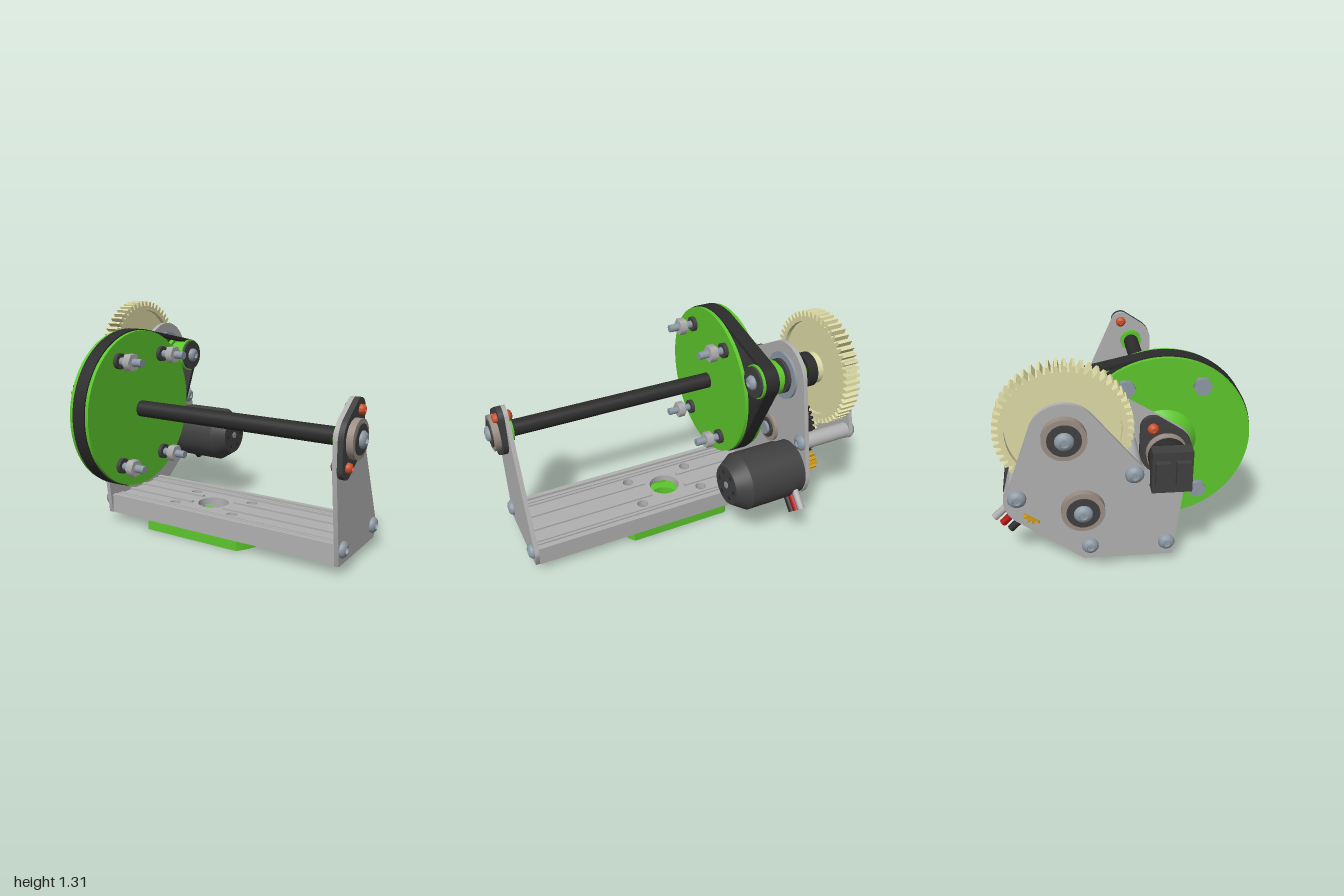
import * as THREE from 'three';
import { toCreasedNormals } from 'three/addons/utils/BufferGeometryUtils.js';

const C = { grey: 0xb0b0b0, black: 0x2b2b2b, dark: 0x404040, green: 0x5cc62c, cream: 0xdedba6, gold: 0xd09a1c,
  brown: 0x9a8e84, steel: 0x8d99a4, orange: 0xc9502a, red: 0xb01010 };
const mats = {};
const mat = (c) => mats[c] ??= new THREE.MeshStandardMaterial({ color: C[c] });

// Axes along x, given as [z, y]
const MAIN = [0.225, 0.725], TOP = [-0.295, 0.985], MID = [-0.215, 0.59], MOTOR = [-0.45, 0.45];
const POSTS = [[-0.525, 0.665], [0.03, 0.77]];
const FEET = [[0.25, 0.14], [-0.165, 0.14]];
const EARS = [[0.155, 0.86], [0.297, 0.59]];

export function createModel() {
  const root = new THREE.Group();
  const add = (name, geo, color) => {
    const m = new THREE.Mesh(geo, mat(color));
    m.name = name;
    root.add(m);
    return m;
  };
  // Cylinder or cone along x from x0 to x1
  const cyl = (name, x0, x1, r, [z, y], color, r1 = r, seg = 40) => {
    const g = new THREE.CylinderGeometry(r1, r, x1 - x0, seg).rotateZ(-Math.PI / 2);
    return add(name, g.translate((x0 + x1) / 2, y, z), color);
  };
  const box = (name, x0, x1, y0, y1, z0, z1, color) => add(name,
    new THREE.BoxGeometry(x1 - x0, y1 - y0, z1 - z0).translate((x0 + x1) / 2, (y0 + y1) / 2, (z0 + z1) / 2), color);
  // Shape drawn in (z, y), extruded from x0 to x1
  const slab = (name, shape, x0, x1, color) => {
    const g = new THREE.ExtrudeGeometry(shape, { depth: x1 - x0, bevelEnabled: false, curveSegments: 24 });
    return add(name, toCreasedNormals(g.rotateY(-Math.PI / 2).translate(x1, 0, 0), 0.4), color);
  };
  // Shape drawn in (x, -z), extruded upwards
  const floor = (name, shape, y0, y1, color) => {
    const g = new THREE.ExtrudeGeometry(shape, { depth: y1 - y0, bevelEnabled: false, curveSegments: 24 });
    return add(name, toCreasedNormals(g.rotateX(-Math.PI / 2).translate(0, y0, 0), 0.4), color);
  };
  const hole = (shape, x, y, r) => shape.holes.push(new THREE.Path().absarc(x, y, r, 0, Math.PI * 2));
  // Screw with a domed head; dir is the side the head points to
  const screw = (name, x, dir, r, [z, y], color, h = 0.028) => {
    const pts = [[0, 0], [r, 0], [r, h * 0.35], [r * 0.8, h * 0.8], [r * 0.45, h], [r * 0.45, h * 0.5], [0, h * 0.5]];
    const g = new THREE.LatheGeometry(pts.map((p) => new THREE.Vector2(...p)), 24);
    add(name, toCreasedNormals(g.rotateZ(-dir * Math.PI / 2).translate(x, y, z), 0.7), color);
  };

  // Base rail: ribbed channel with drilled top
  const cx = -0.03, cz = 0.04;
  const deck = new THREE.Shape([[-0.615, 0.205], [-0.615, -0.28], [0.87, -0.28], [0.87, 0.205]].map((p) => new THREE.Vector2(...p)));
  hole(deck, cx, -cz, 0.092);
  const drill = [-1, 1].flatMap((a) => [-1, 1].map((b) => [cx + a * 0.2, -cz + b * 0.115]));
  drill.forEach(([x, y]) => hole(deck, x, y, 0.033));
  floor('railDeck', deck, 0.115, 0.155, 'grey');
  for (const [z0, z1] of [[-0.205, -0.175], [0.25, 0.28]]) box('railWall', -0.615, 0.87, 0.056, 0.17, z0, z1, 'grey');
  for (const z of [-0.15, -0.125, 0.2, 0.225]) {
    box('railRib', -0.615, 0.87, 0.155, 0.165, z - 0.008, z + 0.008, 'grey');
    box('railRib', -0.615, 0.87, 0.06, 0.115, z - 0.008, z + 0.008, 'grey');
  }
  for (const z of [-0.02, 0.1]) for (const [x0, x1] of [[-0.615, -0.14], [0.08, 0.87]]) {
    box('railRib', x0, x1, 0.155, 0.165, z - 0.012, z + 0.012, 'grey');
    box('railRib', x0, x1, 0.06, 0.115, z - 0.012, z + 0.012, 'grey');
  }

  // Green foot: disc with two flat sides and cut-outs
  const R = 0.393, flat = Math.asin(0.243 / R);
  const foot = new THREE.Shape().absarc(cx, -cz, R, -flat, flat).absarc(cx, -cz, R, Math.PI - flat, Math.PI + flat);
  hole(foot, cx, -cz, 0.092);
  drill.forEach(([x, y]) => hole(foot, x, y, 0.033));
  const kidney = (mid, half, r0, r1) => foot.holes.push(new THREE.Path()
    .absarc(cx, -cz, r1, mid - half, mid + half).absarc(cx, -cz, r0, mid + half, mid - half, true));
  for (const a of [0, Math.PI]) {
    kidney(a, 0.22, 0.15, 0.24);
    for (const s of [-0.33, 0.33]) kidney(a + s, 0.22, 0.285, 0.345);
    kidney(a + Math.PI / 2, 0.5, 0.145, 0.195);
  }
  floor('foot', foot, 0, 0.056, 'green');

  // Side plates
  const feetCircles = [[0.281, 0.06, 0.005], [-0.196, 0.06, 0.005], [...FEET[0], 0.045], [...FEET[1], 0.055]];
  slab('rightPlate', hull([...feetCircles, [...MAIN, 0.135], [...EARS[0], 0.062], [...EARS[1], 0.062]]), 0.87, 0.895, 'grey');
  slab('gearPlate', hull([...feetCircles, [...MAIN, 0.137], [...TOP, 0.195], [...MOTOR, 0.165]]), -0.64, -0.615, 'grey');
  slab('outerPlate', hull([[...TOP, 0.165], [...MID, 0.165], ...POSTS.map((p) => [...p, 0.05])]), -0.937, -0.915, 'grey');
  for (const f of FEET) {
    screw('plateScrew', 0.895, 1, 0.045, f, 'steel');
    screw('plateScrew', -0.64, -1, 0.045, f, 'steel');
  }
  for (const p of POSTS) {
    cyl('standoff', -0.915, -0.64, 0.045, p, 'grey');
    screw('standoffScrew', -0.937, -1, 0.045, p, 'steel');
    screw('standoffScrew', -0.615, 1, 0.045, p, 'steel');
  }

  // Main shaft and its flanged bearings
  cyl('mainShaft', -0.78, 0.93, 0.048, MAIN, 'black');
  const flange = () => hull([[...MAIN, 0.135], ...EARS.map((e) => [...e, 0.062])]);
  slab('rightFlange', flange(), 0.895, 0.925, 'dark');
  slab('leftFlange', flange(), -0.67, -0.64, 'dark');
  for (const e of EARS) {
    screw('flangeScrew', 0.925, 1, 0.028, e, 'orange');
    screw('flangeScrew', 0.87, -1, 0.033, e, 'orange');
    screw('flangeScrew', -0.67, -1, 0.028, e, 'orange');
    screw('flangeScrew', -0.615, 1, 0.033, e, 'orange');
  }
  const bearing = (x, dir, p, r = 0.105) => {
    const span = (a, b) => dir > 0 ? [x + a, x + b] : [x - b, x - a];
    cyl('bearingRing', ...span(0, 0.036), r, p, 'brown');
    cyl('bearingCore', ...span(0.002, 0.042), r * 0.76, p, 'dark');
    screw('bearingScrew', x + dir * 0.042, dir, 0.045, p, 'steel', 0.025);
  };
  bearing(0.925, 1, MAIN);
  cyl('shaftSpacer', 0.84, 0.87, 0.07, MAIN, 'green');
  cyl('leftBearing', -0.71, -0.67, 0.105, MAIN, 'brown');
  cyl('shaftCollar', -0.775, -0.71, 0.1, MAIN, 'black');

  // Sensor clamp on the end of the main shaft, with its stay
  box('sensorBody', -0.87, -0.8, 0.61, 0.835, 0.125, 0.325, 'dark');
  box('sensorHead', -0.9, -0.87, 0.66, 0.79, 0.14, 0.21, 'dark');
  box('sensorHead', -0.9, -0.87, 0.66, 0.79, 0.24, 0.31, 'dark');
  cyl('sensorHub', -0.8, -0.775, 0.07, MAIN, 'dark');
  const stay = new THREE.LineCurve3(new THREE.Vector3(-0.8, 0.62, 0.2), new THREE.Vector3(-0.64, 0.51, 0.2));
  add('sensorStay', new THREE.TubeGeometry(stay, 1, 0.012, 8), 'grey');

  // Large pulley with clamping bolts
  cyl('pulleyHub', -0.615, -0.55, 0.105, MAIN, 'green', 0.175);
  for (const [x0, x1] of [[-0.55, -0.527], [-0.44, -0.418]]) cyl('pulleyFlange', x0, x1, 0.46, MAIN, 'green', 0.46, 80);
  cyl('pulleyCore', -0.53, -0.438, 0.445, MAIN, 'black', 0.445, 80);
  for (const a of [-1, 1]) for (const b of [-1, 1]) {
    const p = [MAIN[0] + a * 0.195, MAIN[1] + b * 0.305];
    cyl('clampBolt', -0.56, -0.245, 0.023, p, 'steel', 0.023, 16);
    cyl('clampNut', -0.35, -0.305, 0.052, p, 'grey', 0.052, 6);
    cyl('clampNut', -0.418, -0.395, 0.045, p, 'dark', 0.045, 24);
    cyl('clampHead', -0.575, -0.55, 0.05, p, 'steel', 0.05, 6);
  }

  // Belt
  const belt = hull([[...MAIN, 0.466], [...TOP, 0.1]], 96);
  belt.holes.push(hull([[...MAIN, 0.446], [...TOP, 0.08]], 96));
  slab('belt', belt, -0.525, -0.442, 'black');

  // Upper shaft: big gear, collars, small pulley
  cyl('upperShaft', -0.94, -0.4, 0.04, TOP, 'steel');
  slab('bigGear', gear(TOP, 52, 0.298, 0.328, 0.272), -0.886, -0.796, 'cream');
  cyl('bigGearWeb', -0.86, -0.822, 0.275, TOP, 'cream', 0.275, 64);
  cyl('bigGearHub', -0.886, -0.79, 0.09, TOP, 'cream');
  cyl('upperCollar', -0.78, -0.722, 0.1, TOP, 'black');
  cyl('upperSpacer', -0.722, -0.64, 0.075, TOP, 'green');
  cyl('upperBearing', -0.66, -0.6, 0.137, TOP, 'steel');
  cyl('upperBearingCore', -0.6, -0.58, 0.1, TOP, 'dark');
  cyl('smallPulleyHub', -0.6, -0.55, 0.07, TOP, 'green');
  for (const [x0, x1] of [[-0.555, -0.527], [-0.44, -0.425]]) cyl('smallPulleyFlange', x0, x1, 0.098, TOP, 'green');
  cyl('smallPulleyCore', -0.53, -0.438, 0.08, TOP, 'green');
  cyl('smallPulleyCap', -0.425, -0.412, 0.09, TOP, 'dark');
  screw('smallPulleyScrew', -0.412, 1, 0.042, TOP, 'steel');
  bearing(-0.937, -1, TOP);

  // Middle shaft: small pale gear and large black gear
  cyl('middleShaft', -0.94, -0.57, 0.04, MID, 'steel');
  slab('middlePinion', gear(MID, 15, 0.075, 0.105, 0.03), -0.895, -0.79, 'cream');
  slab('blackGear', gear(MID, 46, 0.218, 0.24, 0.035), -0.77, -0.672, 'black');
  cyl('middleBearing', -0.672, -0.595, 0.088, MID, 'brown');
  cyl('middleBearingCore', -0.595, -0.585, 0.062, MID, 'dark');
  bearing(-0.937, -1, MID);

  // Motor with gold pinion and leads
  cyl('motorMount', -0.615, -0.54, 0.16, MOTOR, 'dark');
  cyl('motorBody', -0.54, -0.27, 0.168, MOTOR, 'dark');
  cyl('motorNose', -0.27, -0.188, 0.168, MOTOR, 'dark', 0.115);
  for (let i = 0; i < 6; i++) {
    const a = i * Math.PI / 3;
    cyl('motorVent', -0.19, -0.186, 0.013, [MOTOR[0] + 0.078 * Math.cos(a), MOTOR[1] + 0.078 * Math.sin(a)], 'black', 0.013, 12);
  }
  cyl('motorShaft', -0.74, -0.183, 0.02, MOTOR, 'steel', 0.02, 16);
  slab('motorPinion', gear(MOTOR, 12, 0.04, 0.058, 0.015), -0.77, -0.655, 'gold');
  ['black', 'red', 'grey'].forEach((c, i) => {
    const k = (i - 1) * 0.04;
    const lead = new THREE.LineCurve3(new THREE.Vector3(-0.565, 0.365 + k, -0.53 - k), new THREE.Vector3(-0.565, 0.265 + k, -0.63 - k));
    add('motorLead', new THREE.CylinderGeometry(0.02, 0.02, lead.getLength(), 16).rotateX(Math.PI / 4)
      .translate(...lead.getPoint(0.5).toArray()), c);
  });
  return root;
}

// Outline wrapped tightly around circles [z, y, r]
function hull(circles, seg = 64) {
  const pts = circles.flatMap(([x, y, r]) => Array.from({ length: seg }, (_, i) => {
    const a = (i / seg) * Math.PI * 2;
    return new THREE.Vector2(x + r * Math.cos(a), y + r * Math.sin(a));
  })).sort((a, b) => a.x - b.x || a.y - b.y);
  const half = (list) => {
    const h = [];
    for (const p of list) {
      while (h.length > 1 && h.at(-1).clone().sub(h.at(-2)).cross(p.clone().sub(h.at(-2))) <= 1e-9) h.pop();
      h.push(p);
    }
    return h.slice(0, -1);
  };
  return new THREE.Shape([...half(pts), ...half(pts.reverse())]);
}

// Toothed outline with a round bore
function gear([x, y], teeth, root, tip, bore) {
  const pts = [];
  for (let i = 0; i < teeth; i++) for (const [f, r] of [[0, root], [0.3, root], [0.42, tip], [0.78, tip]].map(([f, r]) => [f, r])) {
    const a = ((i + f) / teeth) * Math.PI * 2;
    pts.push(new THREE.Vector2(x + r * Math.cos(a), y + r * Math.sin(a)));
  }
  const s = new THREE.Shape(pts);
  s.holes.push(new THREE.Path().absarc(x, y, bore, 0, Math.PI * 2));
  return s;
}
